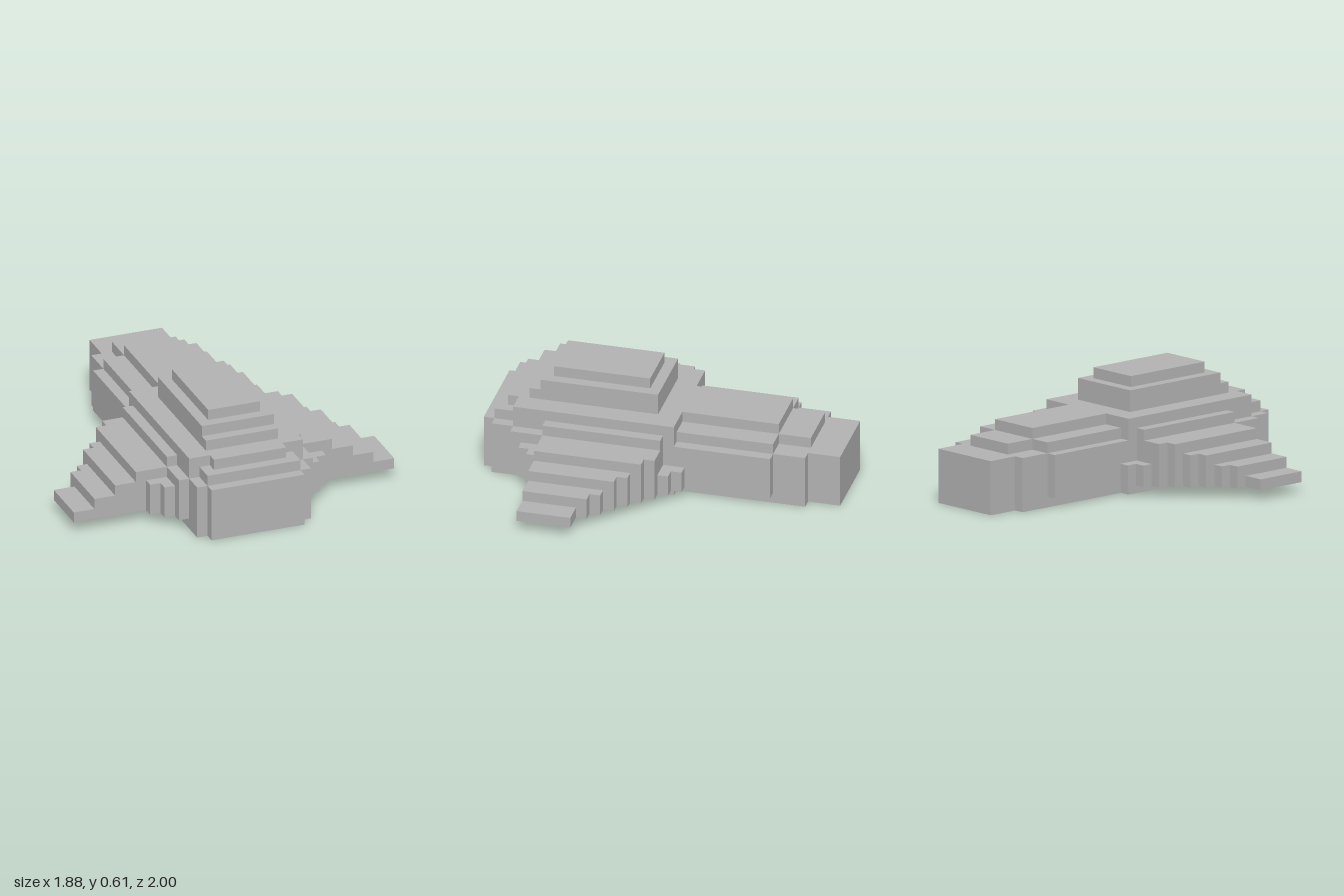
import * as THREE from 'three';

// One voxel: the model is 33 voxels long
const U = 2 / 33;

export function createModel() {
  const model = new THREE.Group();
  const grey = new THREE.MeshStandardMaterial({ color: 0xb2b2b2 });
  grey.name = 'hull grey';

  // Box from bounds in voxels
  function block(parent, name, x0, x1, y0, y1, z0, z1) {
    const geo = new THREE.BoxGeometry((x1 - x0) * U, (y1 - y0) * U, (z1 - z0) * U);
    const mesh = new THREE.Mesh(geo, grey);
    mesh.name = name;
    mesh.position.set((x0 + x1) / 2 * U, (y0 + y1) / 2 * U, (z0 + z1) / 2 * U);
    parent.add(mesh);
  }

  function part(name) {
    const group = new THREE.Group();
    group.name = name;
    model.add(group);
    return group;
  }

  // Centred blocks: [name, half width, y0, y1, z0, z1]
  function centred(group, rows) {
    for (const [name, w, ...bounds] of rows) block(group, name, -w, w, ...bounds);
  }

  centred(part('hull'), [
    ['midBody', 5.5, 0, 7, -1.5, 13.5],
    ['noseShoulder', 5.5, 0, 5, 13.5, 15.5],
    ['noseTip', 4.5, 0, 5, 15.5, 16.5],
    ['noseDeck', 4.5, 5, 6, 13.5, 15.5],
    ['noseStep', 3.5, 6, 7, 13.5, 14.5],
  ]);

  centred(part('cabin'), [
    ['cabinBase', 3.5, 7, 8, 0.5, 12.5],
    ['cabinUpper', 3.5, 8, 9, 0.5, 11.5],
    ['cabinRoof', 2.5, 9, 10, 1.5, 10.5],
  ]);

  centred(part('tail'), [
    ['tailEnd', 3.5, 0, 5, -16.5, -13.5],
    ['tailBody', 4.5, 0, 5, -13.5, -1.5],
    ['tailDeck', 4.5, 5, 6, -10.5, -1.5],
    ['tailStep', 2.5, 5, 6, -13.5, -10.5],
    ['tailRidge', 2.5, 6, 7, -10.5, -1.5],
  ]);

  // Wing slices: [inner x, outer x, top, rear z, front z]
  const wing = [
    [5.5, 6.5, 6, -0.5, 10.5],
    [6.5, 8.5, 5, -0.5, 10.5],
    [8.5, 9.5, 5, 0.5, 10.5],
    [9.5, 10.5, 4, 1.5, 10.5],
    [10.5, 11.5, 4, 2.5, 10.5],
    [11.5, 12.5, 3, 3.5, 10.5],
    [12.5, 13.5, 3, 4.5, 10.5],
    [13.5, 15.5, 2, 5.5, 10.5],
  ];
  // Small fillets where the wing meets the hull
  const fillets = [
    [5.5, 6.5, 5, 10.5, 13.5],
    [6.5, 7.5, 4, 10.5, 12.5],
    [7.5, 8.5, 4, 10.5, 11.5],
    [5.5, 6.5, 3, -2.5, -0.5],
    [6.5, 7.5, 3, -1.5, -0.5],
  ];

  for (const [side, s] of [['left', 1], ['right', -1]]) {
    const group = part(side + 'Wing');
    const add = (name, a, b, top, z0, z1) =>
      block(group, name, Math.min(s * a, s * b), Math.max(s * a, s * b), 1, top, z0, z1);
    wing.forEach((row) => add('wingSlice', ...row));
    fillets.forEach((row) => add('wingFillet', ...row));
    add('tailSidePanel', 4.5, 5.5, 5, -10.5, -1.5);
  }
  return model;
}
